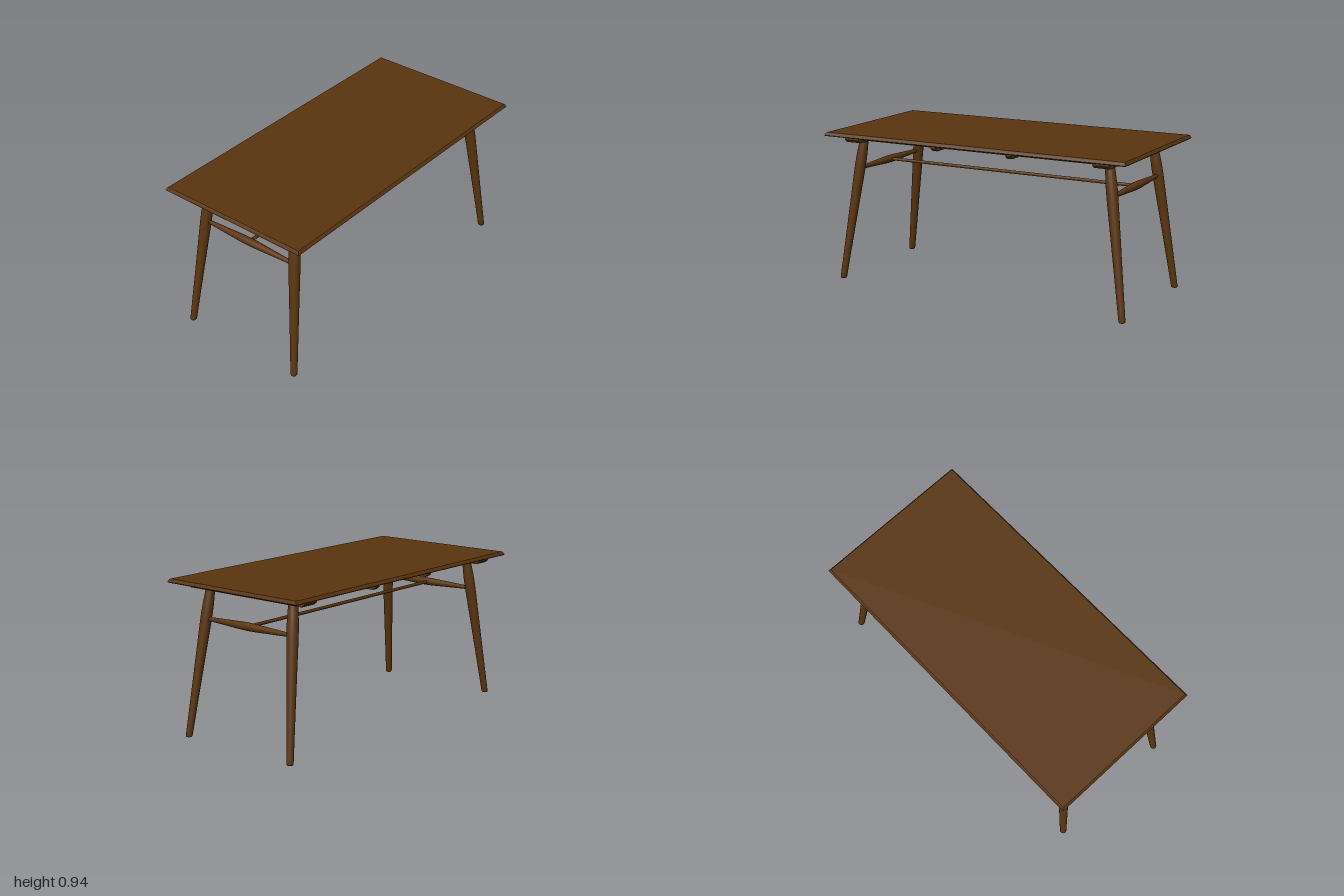
import * as THREE from 'three';

const wood = new THREE.MeshStandardMaterial({ color: 0x5a350f });
wood.name = 'dark wood';

function part(name, geometry, x = 0, y = 0, z = 0) {
  const mesh = new THREE.Mesh(geometry, wood);
  mesh.name = name;
  mesh.position.set(x, y, z);
  return mesh;
}

// Table top: a thin board whose edge slopes inwards towards the top
function topGeometry() {
  const rings = [[0.917, 0.004], [0.922, 0], [0.936, 0.008], [0.94, 0.012]];
  const box = new THREE.BoxGeometry(2, 3, 2, 1, 3, 1);
  const p = box.attributes.position;
  for (let i = 0; i < p.count; i++) {
    const [y, inset] = rings[Math.round(p.getY(i) + 1.5)];
    p.setXYZ(i, p.getX(i) * (1 - inset), y, p.getZ(i) * (0.4965 - inset));
  }
  const flat = box.toNonIndexed();
  flat.computeVertexNormals();
  return flat;
}

// Cross batten running along z, with chamfered lower ends
function battenGeometry(width) {
  const shape = new THREE.Shape([
    [-0.45, 0.918], [-0.45, 0.896], [-0.428, 0.88],
    [0.428, 0.88], [0.45, 0.896], [0.45, 0.918],
  ].map(([z, y]) => new THREE.Vector2(z, y)));
  const g = new THREE.ExtrudeGeometry(shape, { depth: width, bevelEnabled: false });
  g.translate(0, 0, -width / 2);
  g.rotateY(Math.PI / 2);
  return g;
}

// Turned profile smoothed through [radius, height] points
function turned(points, steps) {
  const curve = new THREE.SplineCurve(points.map(([r, y]) => new THREE.Vector2(r, y)));
  return curve.getPoints(steps);
}

// Leg: a swelling turned shaft, splayed outwards towards the foot
function legGeometry(sx, sz) {
  const shaft = turned([[0.02, 0.006], [0.0245, 0.25], [0.0295, 0.5], [0.0335, 0.7],
    [0.0325, 0.79], [0.0265, 0.885], [0.024, 0.918]], 30);
  const profile = [new THREE.Vector2(0, 0), new THREE.Vector2(0.016, 0), ...shaft];
  const g = new THREE.LatheGeometry(profile, 24);
  g.applyMatrix4(new THREE.Matrix4().set(
    1, -0.145 * sx, 0, 0.956 * sx,
    0, 1, 0, 0,
    0, -0.091 * sz, 1, 0.4 * sz,
    0, 0, 0, 1));
  return g;
}

export function createModel() {
  const table = new THREE.Group();
  table.name = 'table';
  table.add(part('tableTop', topGeometry()));

  // Underframe
  for (const x of [-0.83, 0.83]) table.add(part('endBatten', battenGeometry(0.1), x));
  for (const x of [-0.25, 0.25]) table.add(part('middleBatten', battenGeometry(0.034), x));
  for (const z of [-0.39, 0.39]) {
    table.add(part('longRail', new THREE.BoxGeometry(1.76, 0.024, 0.04), 0, 0.907, z));
  }

  // Legs
  for (const sx of [-1, 1]) {
    for (const sz of [-1, 1]) table.add(part('leg', legGeometry(sx, sz)));
  }

  // Stretchers: cigar-shaped between each pair of legs, a plain rod between them
  const cigar = turned([[0.011, -0.325], [0.018, -0.16], [0.024, 0], [0.018, 0.16], [0.011, 0.325]], 24);
  for (const x of [-0.854, 0.854]) {
    const g = new THREE.LatheGeometry(cigar, 20).rotateX(Math.PI / 2);
    table.add(part('sideStretcher', g, x, 0.705, 0));
  }
  const rod = new THREE.CylinderGeometry(0.01, 0.01, 1.7, 16).rotateZ(Math.PI / 2);
  table.add(part('longStretcher', rod, 0, 0.705, 0));
  return table;
}
